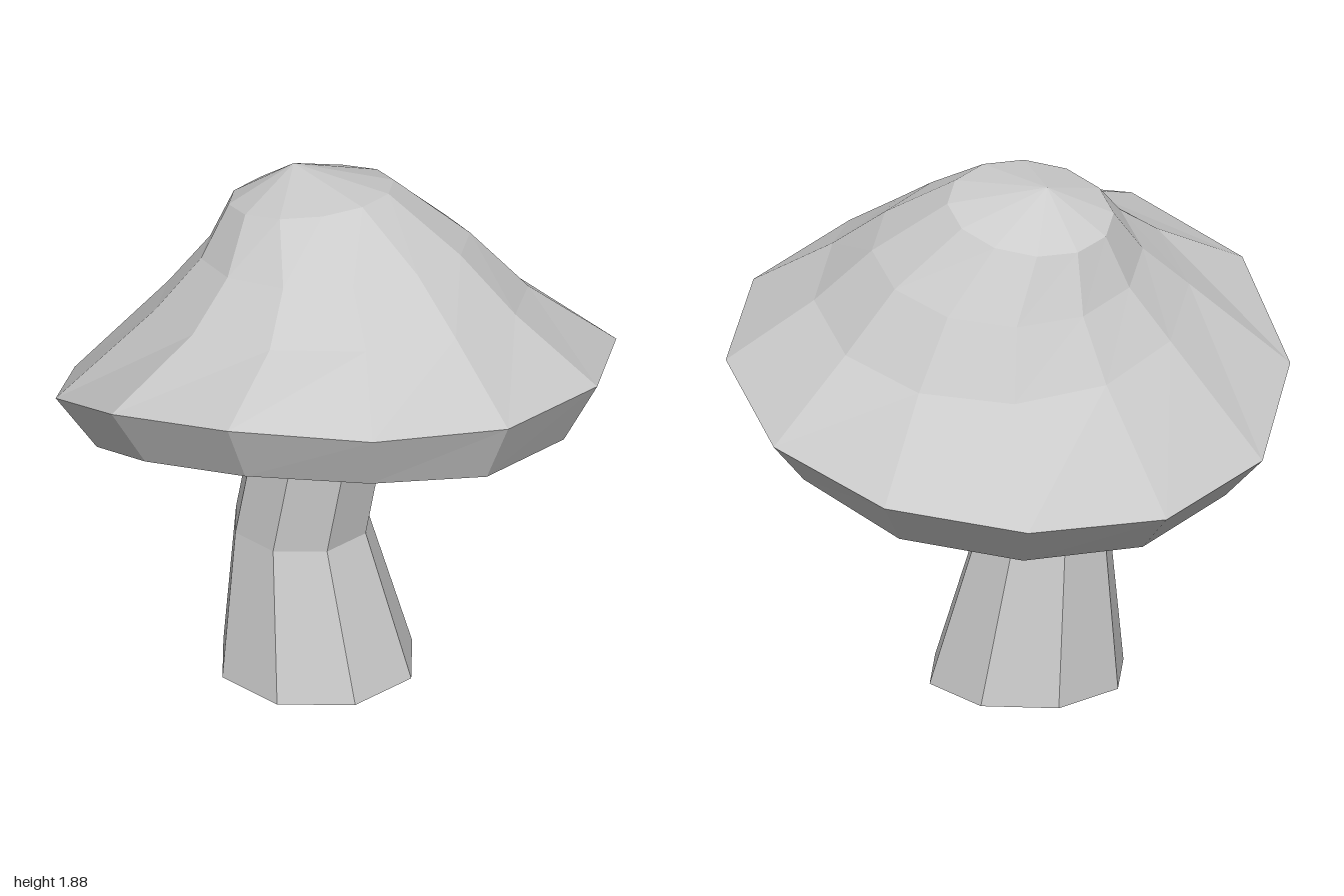
import * as THREE from 'three';

// One level ring or tilted ring: centre x/z, radii, and height as a function of (index, dx, dz)
function ring(sides, cx, cz, rx, rz, height, twist = 0) {
  return Array.from({ length: sides }, (_, k) => {
    const a = (k / sides) * Math.PI * 2 + twist;
    const dx = rx * Math.sin(a), dz = rz * Math.cos(a);
    return [cx + dx, height(k, dx, dz), cz + dz];
  });
}

// Skin between rings listed from bottom to top; optional points close the two ends
function loft(rings, bottom, top) {
  const pos = [];
  const tri = (...corners) => corners.forEach((c) => pos.push(...c));
  const n = rings[0].length;
  for (let k = 0; k < n; k++) {
    const m = (k + 1) % n;
    for (let i = 0; i + 1 < rings.length; i++) {
      const lo = rings[i], hi = rings[i + 1];
      tri(lo[k], lo[m], hi[m]);
      tri(lo[k], hi[m], hi[k]);
    }
    if (bottom) tri(bottom, rings[0][m], rings[0][k]);
    const last = rings[rings.length - 1];
    if (top) tri(last[k], last[m], top);
  }
  const geo = new THREE.BufferGeometry();
  geo.setAttribute('position', new THREE.Float32BufferAttribute(pos, 3));
  geo.computeVertexNormals();
  return geo;
}

export function createModel() {
  const group = new THREE.Group();
  const material = new THREE.MeshStandardMaterial({
    color: 0xcccccc, flatShading: true, side: THREE.DoubleSide,
  });
  const add = (name, geometry) => {
    const mesh = new THREE.Mesh(geometry, material);
    mesh.name = name;
    group.add(mesh);
  };

  // Cap: warped lower edge and rim, then tilted rings up to an off-centre tip
  const twist = Math.PI / 180;
  const edgeY = [1.2, 1.2, 1.13, 1.08, 1.0, 0.9, 0.795, 0.745, 0.735, 0.79, 0.94, 1.11];
  const rimY = [1.425, 1.415, 1.355, 1.295, 1.2, 1.07, 0.975, 0.92, 0.9, 0.96, 1.12, 1.32];
  const tilt = (y, b, c) => (k, dx, dz) => y + b * dx + c * dz;
  add('cap', loft([
    ring(12, 0.025, 0.03, 0.845, 0.86, (k) => edgeY[k], twist),
    ring(12, 0, -0.005, 0.98, 0.995, (k) => rimY[k], twist),
    ring(12, 0.01, -0.035, 0.65, 0.665, tilt(1.43, 0.11, 0.2), twist),
    ring(12, -0.03, -0.07, 0.47, 0.48, tilt(1.61, 0.13, 0.16), twist),
    ring(12, -0.13, -0.09, 0.29, 0.29, tilt(1.79, 0.19, 0.14), twist),
  ], [0.02, 0.968, 0.03], [-0.2, 1.885, -0.1]));

  // Stem: open octagonal tube with a bend in the middle
  const level = (y) => () => y;
  add('stem', loft([
    ring(8, -0.063, 0.013, 0.355, 0.355, level(0)),
    ring(8, -0.125, 0.013, 0.245, 0.245, level(0.54)),
    ring(8, -0.025, 0.013, 0.245, 0.245, level(1.08)),
  ]));

  return group;
}
